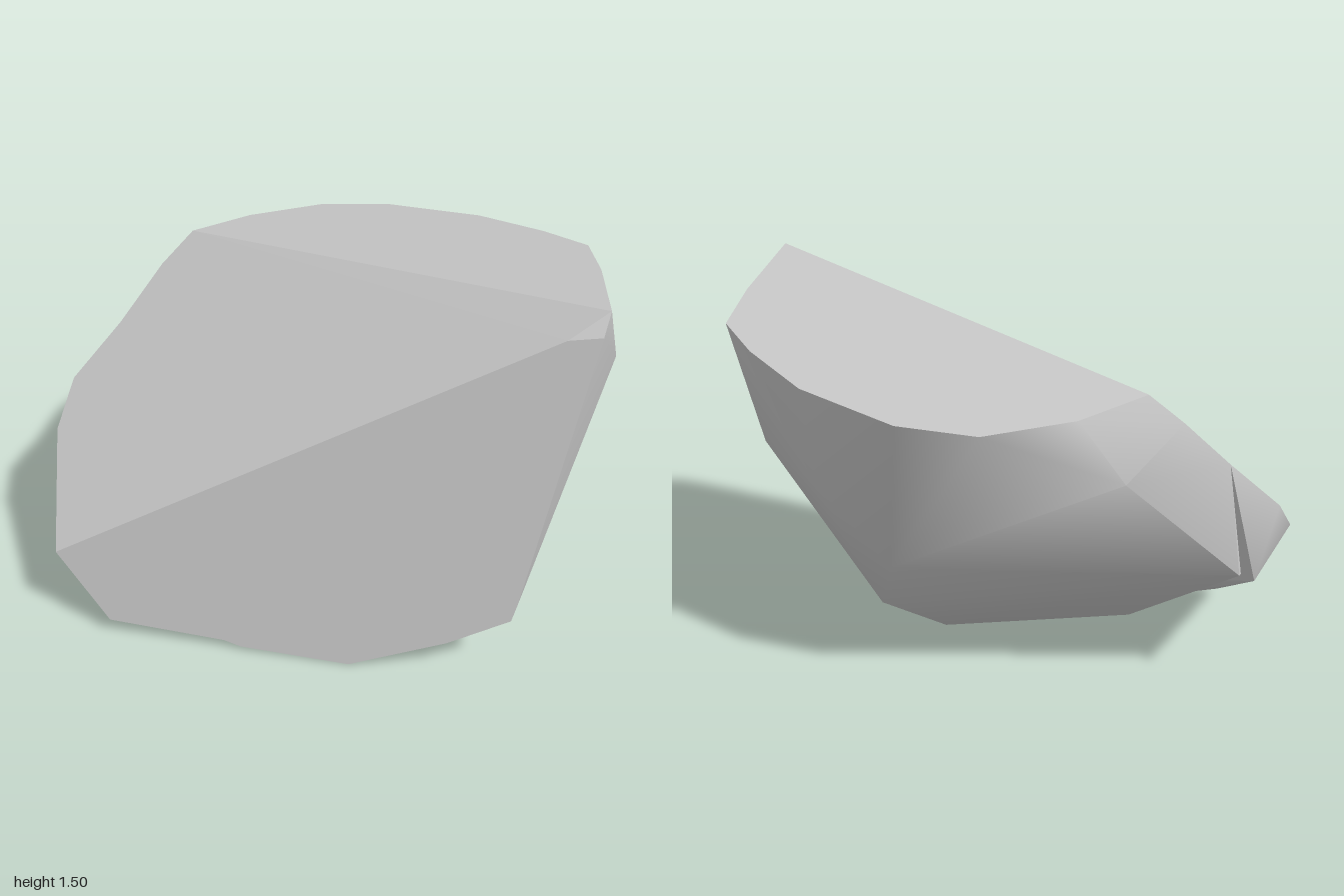
import * as THREE from 'three';
import { ConvexGeometry } from 'three/addons/geometries/ConvexGeometry.js';
import { toCreasedNormals } from 'three/addons/utils/BufferGeometryUtils.js';

const vec = (x, y, z) => new THREE.Vector3(x, y, z);

// Cleavage planes: each turns two coordinates into a point on the plane
const onTop = ([x, z]) => vec(x, 1.4145 + 0.1127 * x + 0.0937 * z, z);
const onSlope = ([x, y]) => vec(x, y, 1.237 - 0.022 * x - 1.003 * y);
const onFront = ([x, y]) => vec(x, y, 0.59 - 0.588 * x - 0.171 * y);

const facets = [
  { name: 'topFacet', normal: vec(-0.1127, 1, -0.0937).normalize() },
  { name: 'slopingFacet', normal: vec(0.022, 1.003, 1).normalize() },
  { name: 'frontFacet', normal: vec(0.588, 0.171, 1).normalize() },
];

// Main mass of the stone
const body = [
  // rim of the top facet
  ...[[-0.78, -0.07], [-0.74, -0.36], [-0.6, -0.66], [-0.37, -0.82], [0.02, -0.91],
    [0.34, -0.89], [0.57, -0.84], [0.75, -0.63], [0.9, -0.38], [0.99, -0.29]].map(onTop),
  // left rim of the sloping facet
  ...[[-0.84, 1.2], [-0.89, 1.0], [-0.63, 0.35]].map(onSlope),
  // rim of the front facet
  ...[[0.9, 1.4], [1, 1.42], [0.95, 1.05], [0.91, 0.35], [0.9, 0.28], [0.71, 0.15],
    [0.53, 0.08], [0.4, 0], [0.03, 0.02], [-0.03, 0.04]].map(onFront),
  // left flank
  vec(-0.94, 0.56, 0.29), vec(-0.89, 0.85, 0.08), vec(-0.84, 1.06, -0.23),
  // underside
  vec(-0.42, 0.16, 0.53), vec(-0.45, 0.19, 0.25), vec(0.115, 0.08, -0.22),
  vec(0.3, 0.11, -0.22), vec(0.6, 0.24, -0.17),
  // back and right flank
  vec(0.12, 0.31, -0.53), vec(-0.1, 0.6, -0.65), vec(0.08, 0.93, -0.83),
  vec(0.75, 0.43, -0.25), vec(0.74, 0.81, -0.61), vec(0.91, 1.19, -0.52),
];

// Ledge that juts out at the lower left front
const ledge = [
  ...[[-0.89, 1.0], [-0.97, 0.8], [-0.92, 0.65], [-0.63, 0.35]].map(onSlope),
  ...[[-0.43, 0.07], [-0.03, 0.04]].map(onFront),
  vec(-1, 0.56, 0.3), vec(-0.42, 0.16, 0.53),
];

// Hull of the points, split into the flat facets and the worn remainder
function chunk(name, points, stone) {
  const group = new THREE.Group();
  group.name = name;
  const pos = new ConvexGeometry(points).getAttribute('position');
  const parts = [[], [], [], []];
  const tri = new THREE.Triangle();
  const n = vec(0, 0, 0);
  for (let i = 0; i < pos.count; i += 3) {
    tri.setFromAttributeAndIndices(pos, i, i + 1, i + 2);
    tri.getNormal(n);
    const hit = facets.findIndex((f) => f.normal.dot(n) > 0.97);
    const part = parts[hit < 0 ? 3 : hit];
    for (const p of [tri.a, tri.b, tri.c]) part.push(p.x, p.y, p.z);
  }
  parts.forEach((coords, i) => {
    if (!coords.length) return;
    let geo = new THREE.BufferGeometry();
    geo.setAttribute('position', new THREE.Float32BufferAttribute(coords, 3));
    geo.computeVertexNormals();
    if (i === 3) geo = toCreasedNormals(geo, 1.0); // soft weathered surface
    const mesh = new THREE.Mesh(geo, stone);
    mesh.name = i < 3 ? facets[i].name : 'weatheredSide';
    group.add(mesh);
  });
  return group;
}

export function createModel() {
  const group = new THREE.Group();
  group.name = 'rockShard';
  const stone = new THREE.MeshStandardMaterial({ color: 0xc6c6c6 });
  stone.name = 'pale grey stone';
  group.add(chunk('body', body, stone), chunk('ledge', ledge, stone));
  return group;
}
